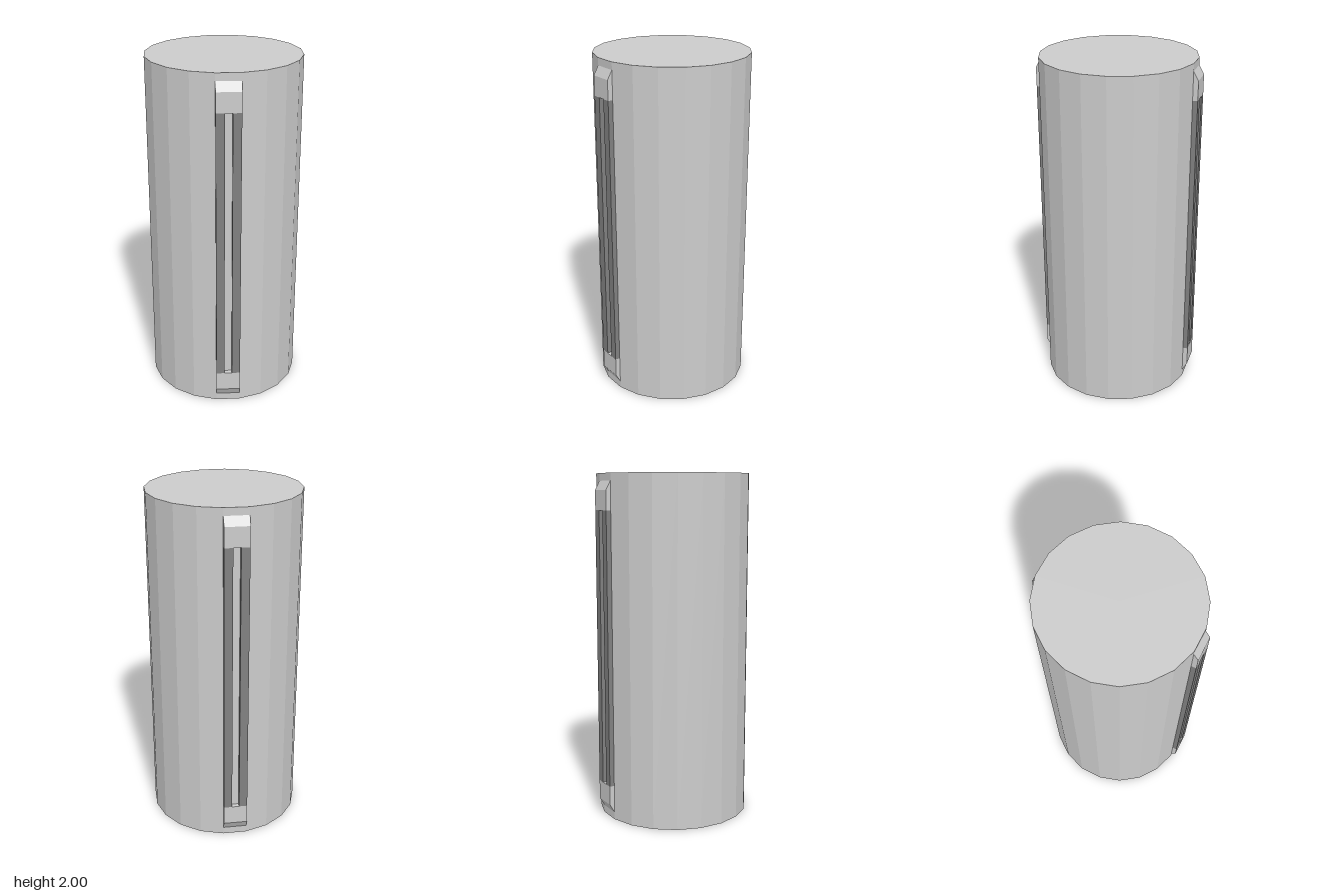
import * as THREE from 'three';

const SIDES = 20;
const RADIUS = 0.443;
const FACE_Z = RADIUS * Math.cos(Math.PI / SIDES); // flat facet at the front
const FRONT_Z = 0.466;
const HALF_WIDTH = 0.069;
const GAP = 0.021; // half of the slot between the rails
const RAIL_TOP = 1.795;

export function createModel() {
  const grey = new THREE.MeshStandardMaterial({ color: 0xcccccc, flatShading: true });
  const dark = new THREE.MeshStandardMaterial({ color: 0x808080, flatShading: true });
  const model = new THREE.Group();
  model.name = 'canister';

  const add = (parent, name, geometry, material) => {
    const mesh = new THREE.Mesh(geometry, material);
    mesh.name = name;
    parent.add(mesh);
    return mesh;
  };

  // Faceted body with a flat facet facing front and back
  const body = new THREE.CylinderGeometry(RADIUS, RADIUS, 2, SIDES, 1, false, Math.PI / SIDES);
  body.translate(0, 1, 0);
  add(model, 'body', body, grey);

  // Bracket end block: side profile (z, y) with a sloped outer corner
  const inner = FACE_Z - 0.01;
  const profile = new THREE.Shape([
    [inner, RAIL_TOP], [FRONT_Z, RAIL_TOP], [FRONT_Z, 1.907],
    [FACE_Z, 1.957], [inner, 1.957],
  ].map(([z, y]) => new THREE.Vector2(z, y)));
  const endBlock = new THREE.ExtrudeGeometry(profile, { depth: 2 * HALF_WIDTH, bevelEnabled: false });
  endBlock.translate(0, 0, -HALF_WIDTH).rotateY(-Math.PI / 2);

  // One long rail, centred on its own axis
  const rail = new THREE.BoxGeometry(HALF_WIDTH - GAP, 2 * (RAIL_TOP - 1), FRONT_Z - inner);

  // Same bracket on the front and the back
  for (const [name, angle] of [['frontBracket', 0], ['backBracket', Math.PI]]) {
    const bracket = new THREE.Group();
    bracket.name = name;
    bracket.rotation.y = angle;
    model.add(bracket);

    add(bracket, 'topEndBlock', endBlock, grey);
    const bottom = add(bracket, 'bottomEndBlock', endBlock, grey);
    bottom.rotation.z = Math.PI;
    bottom.position.y = 2;

    for (const side of [-1, 1]) {
      const mesh = add(bracket, side > 0 ? 'leftRail' : 'rightRail', rail, dark);
      mesh.position.set(side * (HALF_WIDTH + GAP) / 2, 1, (FRONT_Z + inner) / 2);
    }
  }
  return model;
}
